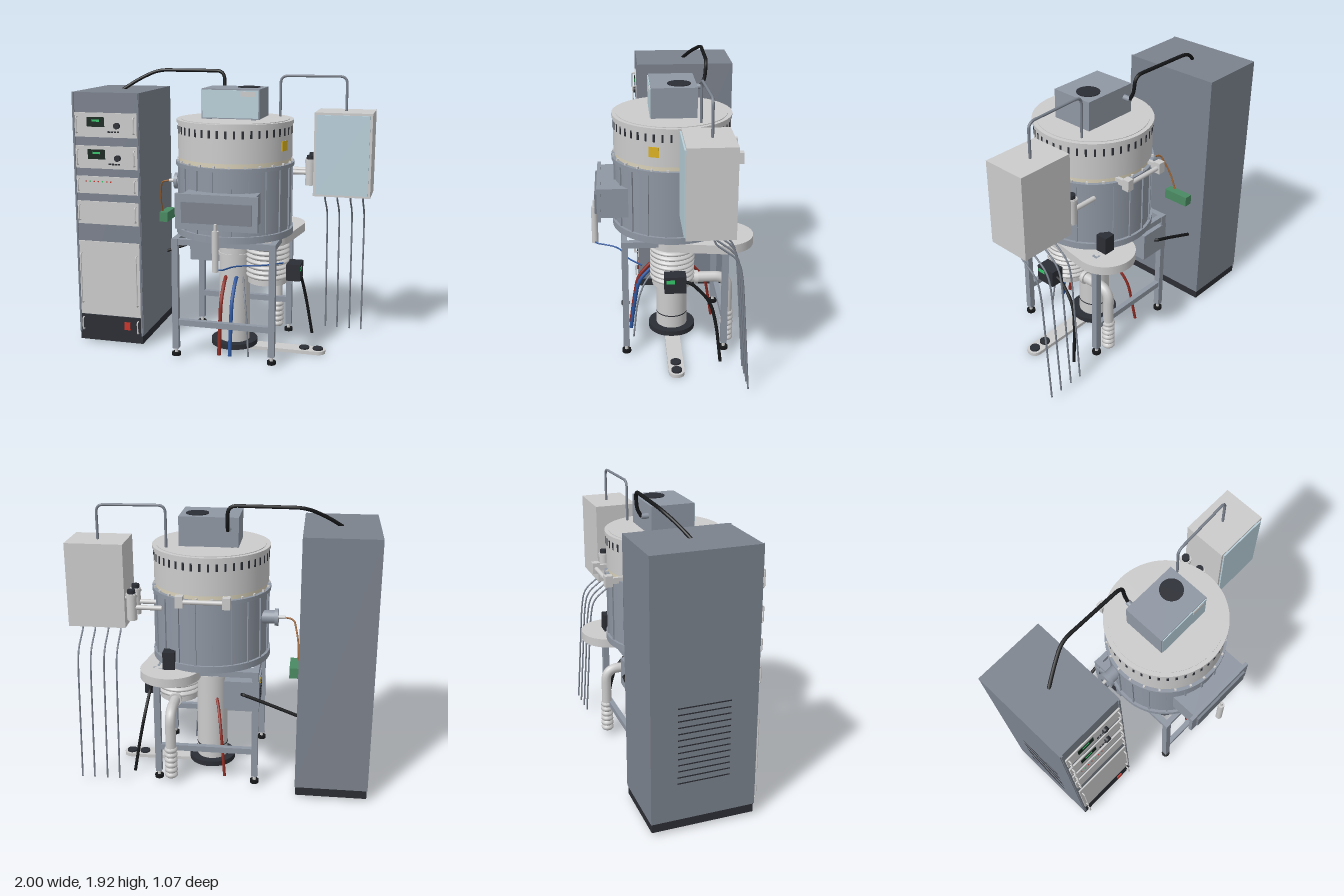
import * as THREE from 'three';

const mat = (c, side = THREE.FrontSide) => new THREE.MeshStandardMaterial({ color: c, side });
const M = {
  light: mat(0xcccccc), steel: mat(0x8f97a3), cabinet: mat(0x7b828d), dark: mat(0x2b2e35), black: mat(0x161719),
  glass: mat(0xb9d0da), cream: mat(0xd8d0b8), green: mat(0x4a8a62), screen: mat(0x12241c), lit: mat(0x35c46a),
  red: mat(0x8c2a22), signal: mat(0xc8372d), blue: mat(0x2b559c), copper: mat(0x9a6232), yellow: mat(0xd9b122),
};
const V = (p) => new THREE.Vector3(...p);
const CX = 0.09, CZ = -0.015; // vessel axis

export function createModel() {
  const root = new THREE.Group();
  root.name = 'vacuumProcessSystem';
  let parent = root;
  const group = (name) => { parent = new THREE.Group(); parent.name = name; root.add(parent); };
  const add = (name, geo, m, x = 0, y = 0, z = 0) => {
    const mesh = new THREE.Mesh(geo, m);
    mesh.name = name;
    mesh.position.set(x, y, z);
    parent.add(mesh);
    return mesh;
  };
  // box given by its limits on each axis
  const box = (name, m, x0, x1, y0, y1, z0, z1) =>
    add(name, new THREE.BoxGeometry(x1 - x0, y1 - y0, z1 - z0), m, (x0 + x1) / 2, (y0 + y1) / 2, (z0 + z1) / 2);
  // upright cylinder between two heights
  const cyl = (name, m, x, z, r, y0, y1, seg = 32) =>
    add(name, new THREE.CylinderGeometry(r, r, y1 - y0, seg), m, x, (y0 + y1) / 2, z);
  // cylinder between two points
  const rod = (name, m, a, b, r, seg = 24) => {
    const A = V(a), B = V(b), d = B.clone().sub(A);
    const mesh = add(name, new THREE.CylinderGeometry(r, r, d.length(), seg), m);
    mesh.position.copy(A.add(B).multiplyScalar(0.5));
    mesh.quaternion.setFromUnitVectors(new THREE.Vector3(0, 1, 0), d.normalize());
    return mesh;
  };
  // hose along points, with corners rounded by a fixed radius
  const hose = (name, m, pts, r, bend = 0.07) => {
    const P = pts.map(V), path = new THREE.CurvePath();
    let from = P[0];
    for (let i = 1; i < P.length - 1; i++) {
      const toPrev = P[i - 1].clone().sub(P[i]), toNext = P[i + 1].clone().sub(P[i]);
      const k = Math.min(bend, toPrev.length() * 0.48, toNext.length() * 0.48);
      const a = P[i].clone().addScaledVector(toPrev.normalize(), k), b = P[i].clone().addScaledVector(toNext.normalize(), k);
      path.add(new THREE.LineCurve3(from, a));
      path.add(new THREE.QuadraticBezierCurve3(a, P[i], b));
      from = b;
    }
    path.add(new THREE.LineCurve3(from, P[P.length - 1]));
    return add(name, new THREE.TubeGeometry(path, 60, r, 10), m);
  };
  // ribbed tube: radius swings between two values
  const bellows = (name, m, x, z, rIn, rOut, y0, y1, n) => {
    const pts = [new THREE.Vector2(0.001, y0)], h = (y1 - y0) / n;
    for (let i = 0; i < n; i++)
      for (const [r, t] of [[rIn, 0], [rOut, 0.3], [rOut, 0.7], [rIn, 1]]) pts.push(new THREE.Vector2(r, y0 + (i + t) * h));
    pts.push(new THREE.Vector2(0.001, y1));
    return add(name, new THREE.LatheGeometry(pts, 32), m, x, 0, z);
  };
  // flat plate wrapped round two circles, the second lying d along +x
  const hullPlate = (r1, r2, d, h) => {
    const a = Math.acos((r1 - r2) / d), s = new THREE.Shape();
    s.absarc(0, 0, r1, a, 2 * Math.PI - a, false);
    s.absarc(d, 0, r2, -a, a, false);
    return new THREE.ExtrudeGeometry(s, { depth: h, bevelEnabled: false, curveSegments: 32 }).rotateX(-Math.PI / 2);
  };
  // box repeated round the vessel
  const ring = (name, m, n, r, y, w, h, d) => {
    for (let i = 0; i < n; i++) {
      const a = ((i + 0.5) / n) * 2 * Math.PI;
      add(name, new THREE.BoxGeometry(w, h, d), m, CX + r * Math.sin(a), y, CZ + r * Math.cos(a)).rotation.y = a;
    }
  };

  // Electronics rack
  group('rackCabinet');
  box('cabinetBody', M.cabinet, -1, -0.52, 0.08, 1.78, -0.49, 0.19);
  box('cabinetBase', M.dark, -0.995, -0.525, 0.02, 0.08, -0.485, 0.19);
  for (const x of [-0.995, -0.535]) box('cabinetRail', M.cabinet, x, x + 0.012, 0.08, 1.78, 0.19, 0.198);
  for (const [y0, y1, m] of [[1.48, 1.645, M.light], [1.265, 1.42, M.light], [1.09, 1.21, M.light],
    [0.875, 1.035, M.light], [0.215, 0.75, M.light], [0.08, 0.21, M.dark]]) {
    box('rackPanel', m, -0.98, -0.535, y0, y1, 0.19, 0.2);
    const y = (y0 + y1) / 2, h = y1 - y0 > 0.3 ? 0.18 : (y1 - y0) * 0.33;
    for (const x of [-0.962, -0.553])
      hose('rackHandle', M.light, [[x, y - h, 0.195], [x, y - h, 0.222], [x, y + h, 0.222], [x, y + h, 0.195]], 0.005, 0.012);
  }
  for (const y of [1.583, 1.363]) {
    box('display', M.screen, -0.89, -0.765, y - 0.033, y + 0.033, 0.2, 0.204);
    box('displayReadout', M.lit, -0.855, -0.8, y + 0.002, y + 0.017, 0.204, 0.206);
    rod('knob', M.dark, [-0.673, y - 0.022, 0.2], [-0.673, y - 0.022, 0.222], 0.021);
    for (let i = 0; i < 4; i++) box('button', M.dark, -0.74 + i * 0.022, -0.726 + i * 0.022, y - 0.07, y - 0.06, 0.2, 0.205);
  }
  for (let i = 0; i < 7; i++)
    rod('indicatorLamp', [M.signal, M.lit, M.signal][i % 3], [-0.91 + i * 0.03, 1.175, 0.2], [-0.91 + i * 0.03, 1.175, 0.204], 0.005, 10);
  box('powerSwitch', M.signal, -0.655, -0.612, 0.12, 0.175, 0.2, 0.21);
  for (let i = 0; i < 13; i++) box('ventSlat', M.dark, -1.001, -0.998, 0.33 + i * 0.042, 0.338 + i * 0.042, -0.32, 0.02);

  // Vessel: lower chamber, upper drum and lid
  group('vessel');
  cyl('baseFlange', M.steel, CX, CZ, 0.4, 0.84, 0.885, 64);
  cyl('lowerChamber', M.steel, CX, CZ, 0.382, 0.885, 1.31, 64);
  cyl('chamberFlange', M.steel, CX, CZ, 0.4, 1.305, 1.33, 64);
  cyl('sealBand', M.cream, CX, CZ, 0.376, 1.33, 1.365, 64);
  cyl('upperDrum', M.light, CX, CZ, 0.385, 1.36, 1.6, 64);
  cyl('lidRim', M.light, CX, CZ, 0.393, 1.588, 1.61, 64);
  cyl('lidTop', M.light, CX, CZ, 0.365, 1.61, 1.614, 64);
  ring('chamberRib', M.steel, 20, 0.384, 1.095, 0.012, 0.42, 0.016);
  ring('ventSlot', M.dark, 44, 0.384, 1.545, 0.014, 0.05, 0.006);
  ring('flangeBolt', M.light, 24, 0.388, 1.337, 0.014, 0.014, 0.014);
  add('warningLabel', new THREE.BoxGeometry(0.066, 0.066, 0.006), M.yellow, CX + 0.362, 1.455, CZ + 0.135).rotation.y = Math.atan2(0.362, 0.135);

  // Rear hinge
  group('rearHinge');
  rod('hingeBar', M.light, [-0.07, 1.335, -0.45], [0.26, 1.335, -0.45], 0.015);
  for (const x of [-0.06, 0.24]) {
    box('hingeBlock', M.light, x - 0.025, x + 0.025, 1.3, 1.375, -0.475, -0.425);
    box('hingeArm', M.light, x - 0.012, x + 0.012, 1.315, 1.355, -0.44, -0.33);
  }

  // Drive housing on the lid
  group('topHousing');
  box('housingBody', M.steel, -0.105, 0.285, 1.62, 1.815, -0.165, 0.13);
  box('housingFront', M.glass, -0.098, 0.278, 1.627, 1.808, 0.13, 0.136);
  box('housingPlate', M.light, 0.16, 0.255, 1.768, 1.8, 0.136, 0.139);
  cyl('fanGrille', M.dark, 0.175, -0.055, 0.075, 1.815, 1.82);
  for (const x of [-0.06, 0.24]) for (const z of [-0.13, 0.1]) cyl('housingFoot', M.steel, x, z, 0.018, 1.605, 1.625, 16);
  rod('cablePlug', M.steel, [-0.04, 1.74, -0.16], [-0.04, 1.74, -0.215], 0.018);
  hose('mainCable', M.black, [[-0.04, 1.74, -0.21], [-0.04, 1.79, -0.24], [-0.045, 1.91, -0.25], [-0.53, 1.91, -0.26], [-0.66, 1.845, -0.2], [-0.76, 1.775, -0.15]], 0.012);

  // Loading port with sliding door and its actuator
  group('loadingPort');
  box('portTunnel', M.steel, -0.15, 0.33, 0.97, 1.17, 0.2, 0.46);
  box('portFlange', M.steel, -0.185, 0.355, 0.95, 1.18, 0.46, 0.485);
  box('portDoor', M.cabinet, -0.14, 0.315, 0.995, 1.13, 0.485, 0.5);
  rod('actuator', M.light, [0.088, 0.69, 0.51], [0.088, 0.955, 0.51], 0.022);
  rod('actuatorRod', M.light, [0.088, 0.955, 0.51], [0.088, 1.0, 0.51], 0.01);
  hose('airLine', M.blue, [[0.1, 0.7, 0.51], [0.13, 0.7, 0.5], [0.18, 0.69, 0.35], [0.35, 0.69, 0.3], [0.47, 0.69, 0.2]], 0.005);

  // Side port and sensor
  group('sidePort');
  rod('portTube', M.steel, [-0.2, 1.145, -0.125], [-0.36, 1.145, -0.125], 0.045);
  rod('portFlange', M.steel, [-0.345, 1.145, -0.125], [-0.37, 1.145, -0.125], 0.058);
  rod('sensorPlug', M.light, [-0.37, 1.145, -0.125], [-0.415, 1.145, -0.125], 0.012);
  hose('sensorWire', M.copper, [[-0.41, 1.145, -0.125], [-0.475, 1.135, -0.13], [-0.51, 1.0, -0.2], [-0.51, 0.88, -0.25]], 0.006);
  box('junctionBox', M.green, -0.58, -0.46, 0.82, 0.89, -0.385, -0.2);

  // Support frame
  group('frame');
  for (const x of [-0.24, 0.42]) {
    for (const z of [0.312, -0.348]) {
      box('leg', M.steel, x - 0.021, x + 0.021, 0.07, 0.84, z - 0.021, z + 0.021);
      cyl('footStem', M.light, x, z, 0.012, 0.03, 0.08, 16);
      cyl('foot', M.black, x, z, 0.03, 0.018, 0.04, 24);
    }
    box('sideBeam', M.steel, x - 0.02, x + 0.02, 0.8, 0.84, -0.33, 0.3);
  }
  for (const z of [0.312, -0.348]) for (const y of [0.82, 0.258])
    box('crossBeam', M.steel, -0.22, 0.4, y - 0.02, y + 0.02, z - 0.018, z + 0.018);

  // Central column and its floor arm
  group('column');
  cyl('columnTube', M.light, CX, CZ, 0.107, 0.05, 0.84, 48);
  cyl('columnCollar', M.light, CX, CZ, 0.115, 0.67, 0.69, 48);
  cyl('columnBand', M.dark, CX, CZ, 0.109, 0.145, 0.152, 48);
  cyl('columnBase', M.dark, CX, CZ, 0.162, 0.022, 0.058, 48);
  add('floorArm', hullPlate(0.052, 0.052, 0.61, 0.024), M.light, 0.075, 0, -0.01);
  for (const x of [0.59, 0.685]) cyl('armPad', M.dark, x, -0.01, 0.035, 0.02, 0.036);
  for (const [m, x] of [[M.red, 0.05], [M.blue, 0.125]])
    hose('coolantHose', m, [[x, 0.53, 0.08], [x, 0.5, 0.13], [x, 0.4, 0.22], [x, 0.22, 0.25], [x, 0.03, 0.275]], 0.013, 0.1);
  hose('returnHose', M.red, [[0.05, 0.53, -0.1], [0.03, 0.48, -0.15], [0, 0.35, -0.26], [-0.03, 0.03, -0.31]], 0.01, 0.1);
  hose('drainHose', M.cabinet, [[0.17, 0.53, 0.07], [0.2, 0.45, 0.17], [0.23, 0.3, 0.23], [0.25, 0.03, 0.26]], 0.006, 0.1);

  // Gate valve, pump and exhaust
  group('pump');
  add('gateValve', hullPlate(0.15, 0.2, 0.335, 0.06).rotateY(Math.PI / 2), M.light, 0.325, 0.78, -0.003);
  box('valveActuator', M.dark, 0.29, 0.37, 0.84, 0.96, -0.385, -0.305);
  cyl('pumpCollar', M.light, 0.325, -0.003, 0.13, 0.75, 0.785, 40);
  bellows('pumpBody', M.light, 0.325, -0.003, 0.128, 0.148, 0.53, 0.77, 7);
  cyl('pumpBottom', M.light, 0.325, -0.003, 0.135, 0.495, 0.535, 40);
  hose('exhaustPipe', M.light, [[0.33, 0.525, -0.08], [0.33, 0.525, -0.375], [0.33, 0.2, -0.375]], 0.036, 0.09);
  rod('exhaustFlange', M.light, [0.33, 0.525, -0.15], [0.33, 0.525, -0.175], 0.046);
  bellows('exhaustHose', M.light, 0.33, -0.375, 0.032, 0.044, 0.04, 0.27, 6);
  box('pumpController', M.dark, 0.465, 0.56, 0.525, 0.64, -0.08, 0.06);
  box('controllerDisplay', M.lit, 0.56, 0.563, 0.595, 0.62, -0.005, 0.05);
  hose('controllerCable', M.black, [[0.515, 0.585, -0.07], [0.515, 0.57, -0.12], [0.53, 0.45, -0.24], [0.56, 0.28, -0.28], [0.6, 0.03, -0.305]], 0.011, 0.1);

  // Power unit under the vessel
  group('powerUnit');
  box('unitBody', M.steel, -0.265, -0.035, 0.575, 0.77, -0.37, -0.12);
  for (let i = 0; i < 5; i++) box('unitVent', M.dark, -0.268, -0.264, 0.61 + i * 0.022, 0.62 + i * 0.022, -0.33, -0.16);
  box('unitLabel', M.yellow, -0.268, -0.264, 0.725, 0.755, -0.27, -0.2);
  hose('unitCable', M.black, [[-0.15, 0.68, -0.36], [-0.16, 0.69, -0.39], [-0.27, 0.65, -0.385], [-0.53, 0.55, -0.38]], 0.011);

  // Gas control box with conduit, filters and feed lines
  group('gasBox');
  box('gasBoxBody', M.light, 0.62, 1, 1.1, 1.66, -0.33, -0.035);
  box('gasBoxDoor', M.glass, 0.635, 0.985, 1.115, 1.645, -0.035, -0.025);
  hose('conduit', M.cabinet, [[0.365, 1.6, -0.18], [0.365, 1.887, -0.18], [0.81, 1.887, -0.2], [0.81, 1.65, -0.2]], 0.009, 0.05);
  for (const x of [0.68, 0.765, 0.855, 0.94])
    hose('feedLine', M.cabinet, [[x, 1.12, -0.2], [x, 1.05, -0.21], [x, 0.94, -0.36], [x, 0.8, -0.385], [x, 0.04, -0.44]], 0.006);
  for (const z of [-0.295, -0.17]) {
    rod('filterArm', M.light, [0.38, 1.235, z], [0.58, 1.235, z], 0.016);
    rod('filterOutlet', M.light, [0.58, 1.3, z], [0.64, 1.3, z], 0.012);
    cyl('filterBody', M.light, 0.58, z, 0.033, 1.15, 1.33);
    cyl('filterRing', M.light, 0.58, z, 0.038, 1.305, 1.325);
    cyl('filterCap', M.dark, 0.58, z, 0.026, 1.33, 1.355);
  }
  return root;
}
